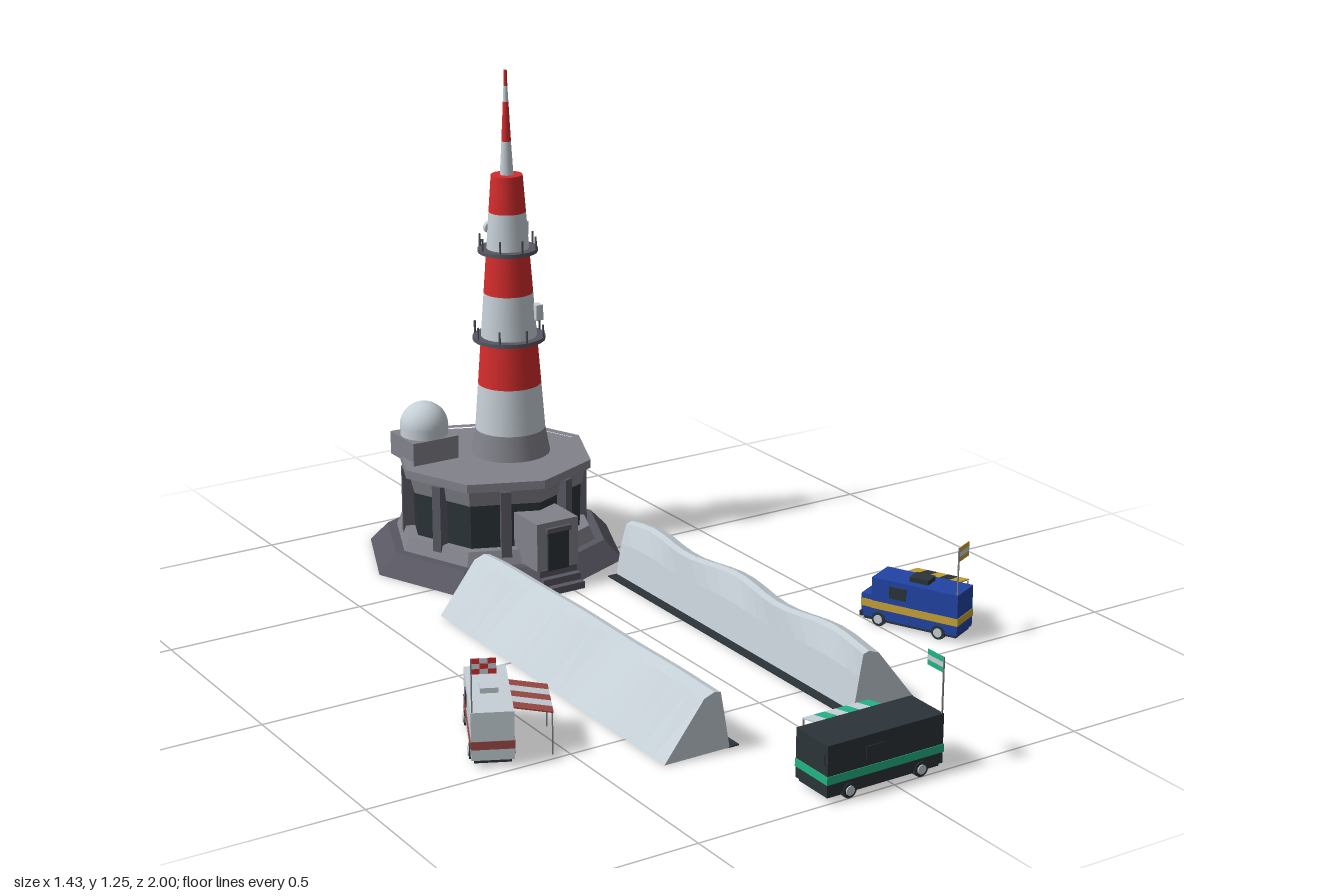
import * as THREE from 'three';

const mat = (name, color) => {
  const m = new THREE.MeshStandardMaterial({ color });
  m.name = name;
  return m;
};
const white = mat('paleGrey', 0xc6d0d7), red = mat('signalRed', 0xd42c2c), grey = mat('concrete', 0x82828b),
  darkGrey = mat('darkConcrete', 0x585762), dark = mat('nearBlack', 0x2c3439), green = mat('green', 0x22b383),
  blue = mat('blue', 0x2143a4), yellow = mat('yellow', 0xc6a235), brick = mat('brickRed', 0x9d4a45);

function add(parent, name, geo, material, x = 0, y = 0, z = 0) {
  const m = new THREE.Mesh(geo, material);
  m.name = name;
  m.position.set(x, y, z);
  parent.add(m);
  return m;
}
const box = (p, name, m, w, h, d, x, y, z) => add(p, name, new THREE.BoxGeometry(w, h, d), m, x, y, z);
// Upright frustum from y0 to y1; faceted when it has few sides
function frustum(p, name, m, r0, r1, y0, y1, sides = 24, x = 0, z = 0) {
  let g = new THREE.CylinderGeometry(r1, r0, y1 - y0, sides);
  if (sides < 12) {
    g = g.toNonIndexed();
    g.computeVertexNormals();
  }
  return add(p, name, g, m, x, (y0 + y1) / 2, z);
}
function group(parent, name, x = 0, y = 0, z = 0) {
  const g = new THREE.Group();
  g.name = name;
  g.position.set(x, y, z);
  parent.add(g);
  return g;
}

function buildStation(root) {
  const s = group(root, 'station', -0.023, 0, -0.662);
  frustum(s, 'slopedBase', darkGrey, 0.338, 0.29, 0, 0.05, 8);
  frustum(s, 'plinth', grey, 0.265, 0.25, 0.05, 0.085, 8);
  frustum(s, 'windowBand', dark, 0.225, 0.228, 0.085, 0.2, 8);
  frustum(s, 'cornice', grey, 0.232, 0.24, 0.2, 0.245, 8);
  frustum(s, 'roofSlab', grey, 0.255, 0.255, 0.243, 0.255, 8);
  // Parapet ring around the roof
  const oct = r => Array.from({ length: 8 }, (_, i) =>
    new THREE.Vector2(r * Math.sin(i * Math.PI / 4), r * Math.cos(i * Math.PI / 4)));
  const ring = new THREE.Shape(oct(0.255));
  ring.holes.push(new THREE.Path(oct(0.232)));
  const parapet = add(s, 'parapet', new THREE.ExtrudeGeometry(ring, { depth: 0.01, bevelEnabled: false }), grey, 0, 0.255, 0);
  parapet.rotation.x = -Math.PI / 2;
  // Buttresses and wall panels on each face
  for (let i = 0; i < 8; i++) {
    const side = group(s, 'wallFace');
    side.rotation.y = (i + 0.5) * Math.PI / 4;
    box(side, 'buttress', darkGrey, 0.026, 0.19, 0.036, 0, 0.145, 0.22);
  }
  // Entrance porch and steps at the front corner
  box(s, 'porch', grey, 0.118, 0.125, 0.14, 0, 0.115, 0.245);
  box(s, 'porchLintel', darkGrey, 0.07, 0.012, 0.012, 0, 0.157, 0.318);
  box(s, 'door', dark, 0.06, 0.1, 0.006, 0, 0.1, 0.317);
  for (let i = 0; i < 3; i++)
    box(s, 'step', darkGrey, 0.108, 0.018, 0.1 - i * 0.018, 0, 0.009 + i * 0.018, 0.305 - i * 0.009);
  // Radar dome on its plinth
  box(s, 'domeHousing', grey, 0.13, 0.06, 0.124, -0.147, 0.285, -0.1);
  frustum(s, 'domeDrum', white, 0.061, 0.061, 0.315, 0.338, 24, -0.147, -0.1);
  add(s, 'dome', new THREE.SphereGeometry(0.062, 24, 10, 0, Math.PI * 2, 0, Math.PI / 2), white, -0.147, 0.338, -0.1);
}

function buildTower(root) {
  const t = group(root, 'tower', 0.037, 0, -0.68);
  const radius = y => 0.09 - 0.05 * (y - 0.32) / 0.665;
  frustum(t, 'towerFoot', grey, 0.102, 0.09, 0.255, 0.32);
  const levels = [0.32, 0.44, 0.56, 0.68, 0.79, 0.89, 0.985];
  for (let i = 0; i < 6; i++)
    frustum(t, 'towerBand', i % 2 ? red : white, radius(levels[i]), radius(levels[i + 1]), levels[i], levels[i + 1]);
  // Banded mast
  const mast = [[0.985, 0.017], [1.07, 0.012], [1.17, 0.007], [1.21, 0.005], [1.25, 0.004]];
  for (let i = 0; i < 4; i++)
    frustum(t, 'mastBand', i % 2 ? red : white, mast[i][1], mast[i + 1][1], mast[i][0], mast[i + 1][0], 12);
  // Balconies with posts
  for (const [y, r] of [[0.56, 0.093], [0.79, 0.076]]) {
    frustum(t, 'balcony', darkGrey, r, r, y - 0.004, y + 0.006);
    for (let i = 0; i < 8; i++) {
      const a = i * Math.PI / 4;
      box(t, 'balconyPost', darkGrey, 0.004, 0.036, 0.004, (r - 0.003) * Math.sin(a), y + 0.02, (r - 0.003) * Math.cos(a));
    }
  }
  // Antenna boxes and a small dish
  box(t, 'antennaBox', white, 0.022, 0.035, 0.03, 0.056, 0.835, -0.025);
  box(t, 'antennaBox', white, 0.02, 0.035, 0.02, 0.01, 0.73, -0.066);
  box(t, 'antennaBox', white, 0.02, 0.04, 0.026, 0.056, 0.63, 0.048);
  const dish = frustum(t, 'dish', white, 0.016, 0.016, 0, 0.012, 16);
  dish.position.set(-0.02, 0.84, -0.055);
  dish.rotation.x = Math.PI / 2;
}

// Snow bank: one cross-section swept along z with a gently waving crest
function buildBank(root, side) {
  const g = group(root, side > 0 ? 'leftBank' : 'rightBank', -0.023, 0, 0);
  const rows = 20, pos = [], idx = [], n = 6;
  for (let k = 0; k <= rows; k++) {
    const t = k / rows, z = -0.34 + t, w = Math.sin(t * Math.PI * 5.2 + 0.2) * 0.006, h = 0.146 + w - 0.012 * (1 - t) ** 6;
    const section = [[0.168, 0], [0.183, h * 0.6], [0.197 + w, h * 0.97], [0.213 + w, h], [0.24 + w, h * 0.93], [0.338, 0]];
    for (const [x, y] of section) pos.push(side * x, y, z);
  }
  const tri = (a, b, c) => side > 0 ? idx.push(a, b, c) : idx.push(a, c, b);
  for (let k = 0; k < rows; k++)
    for (let i = 0; i < n; i++) {
      const j = (i + 1) % n, a = k * n;
      tri(a + i, a + n + i, a + j);
      tri(a + j, a + n + i, a + n + j);
    }
  for (let i = 1; i < n - 1; i++) {
    tri(0, i, i + 1);
    tri(rows * n, rows * n + i + 1, rows * n + i);
  }
  let geo = new THREE.BufferGeometry();
  geo.setAttribute('position', new THREE.Float32BufferAttribute(pos, 3));
  geo.setIndex(idx);
  geo = geo.toNonIndexed();
  geo.computeVertexNormals();
  const bank = add(g, 'snowBank', geo, white);
  bank.position.y = 0.001;
  // Dark strip of ground along the inner foot
  const w = side > 0 ? 0.195 : 0.03;
  box(g, 'groundStrip', dark, w, 0.003, 1, side * (0.143 + w / 2), 0.0015, 0.16);
}

// Food truck: length along x, awning towards -z, cab at -x
function buildTruck(root, o) {
  const { L, W, H, body, trim, stripes, flag, hood } = o;
  const t = group(root, o.name, o.x, 0, o.z);
  t.rotation.y = o.turn;
  const bl = L - hood, bx = hood / 2, y0 = 0.018, ym = (H + y0) / 2;
  box(t, 'body', body, bl, H - y0, W, bx, ym, 0);
  box(t, 'chassis', dark, L - 0.01, 0.012, W - 0.012, 0, 0.016, 0);
  box(t, 'sideStripe', trim, bl + 0.003, 0.019, W + 0.003, bx, 0.053, 0);
  if (hood) {
    box(t, 'hood', body, hood, 0.057, W - 0.006, -L / 2 + hood / 2, 0.047, 0);
    box(t, 'hoodStripe', trim, hood, 0.019, W - 0.003, -L / 2 + hood / 2 - 0.001, 0.053, 0);
    box(t, 'bumper', dark, 0.008, 0.013, W, -L / 2 + 0.001, 0.023, 0);
    box(t, 'roofVent', o.vent, 0.05, 0.012, 0.04, bx, H + 0.006, 0);
  }
  box(t, 'windscreen', dark, 0.004, 0.032, W * 0.85, -L / 2 + hood, H - 0.033, 0);
  box(t, 'servingHatch', dark, 0.13, 0.036, 0.004, 0.015, 0.09, -W / 2);
  box(t, 'sideWindow', dark, 0.045, 0.03, 0.004, -0.03, 0.093, W / 2);
  // Wheels
  for (const x of [-L * 0.31, L * 0.31])
    for (const s of [-1, 1]) {
      const tyre = frustum(t, 'wheel', dark, 0.018, 0.018, 0, 0.014, 16);
      const hub = frustum(t, 'hub', white, 0.011, 0.011, 0, 0.004, 16);
      tyre.position.set(x, 0.018, s * (W / 2 - 0.005));
      hub.position.set(x, 0.018, s * (W / 2 + 0.003));
      tyre.rotation.x = hub.rotation.x = Math.PI / 2;
    }
  // Striped awning on two poles
  const a = group(t, 'awning', 0.015, 0.116, -W / 2), n = stripes.length, sw = o.awning / n;
  a.rotation.x = -0.18;
  stripes.forEach((m, i) => box(a, 'awningStripe', m, sw, 0.003, o.reach, (i - (n - 1) / 2) * sw, 0, -o.reach / 2));
  for (const s of [-1, 1])
    box(t, 'awningPole', grey, 0.003, 0.1, 0.003, 0.015 + s * (o.awning / 2 - 0.002), 0.05, -W / 2 - o.reach + 0.004);
  // Flag at the rear corner, made of coloured cells
  const px = L / 2 - 0.003, pz = W / 2 - 0.003, rows = flag.length, cols = flag[0].length;
  box(t, 'flagPole', grey, 0.003, o.flagTop - H + 0.01, 0.003, px, (o.flagTop + H - 0.01) / 2, pz);
  flag.forEach((row, r) => row.forEach((m, c) => box(t, 'flagCell', m, 0.002, 0.036 / rows, 0.054 / cols,
    px, o.flagTop - (r + 0.5) * 0.036 / rows, pz - (c + 0.5) * 0.054 / cols)));
}

export function createModel() {
  const root = new THREE.Group();
  root.name = 'polarStation';
  buildStation(root);
  buildTower(root);
  buildBank(root, 1);
  buildBank(root, -1);
  buildTruck(root, {
    name: 'darkTruck', x: -0.023, z: 0.942, turn: 0, L: 0.306, W: 0.113, H: 0.133, hood: 0, body: dark, trim: green,
    stripes: [white, green, white, green, white, green], awning: 0.177, reach: 0.09, flagTop: 0.263,
    flag: [[green], [white], [green]]
  });
  buildTruck(root, {
    name: 'paleTruck', x: -0.615, z: 0.343, turn: -2.02, L: 0.28, W: 0.094, H: 0.13, hood: 0.028, body: white, trim: brick,
    stripes: [brick, white, brick, white, brick], awning: 0.15, reach: 0.09, flagTop: 0.255, vent: white,
    flag: [[red, white, red], [white, red, white], [red, white, red]]
  });
  buildTruck(root, {
    name: 'blueTruck', x: 0.573, z: 0.338, turn: -1.126, L: 0.257, W: 0.083, H: 0.122, hood: 0.028, body: blue, trim: yellow,
    stripes: [yellow, dark, yellow, dark, yellow], awning: 0.14, reach: 0.07, flagTop: 0.242, vent: dark,
    flag: [[yellow], [white], [yellow]]
  });
  return root;
}
